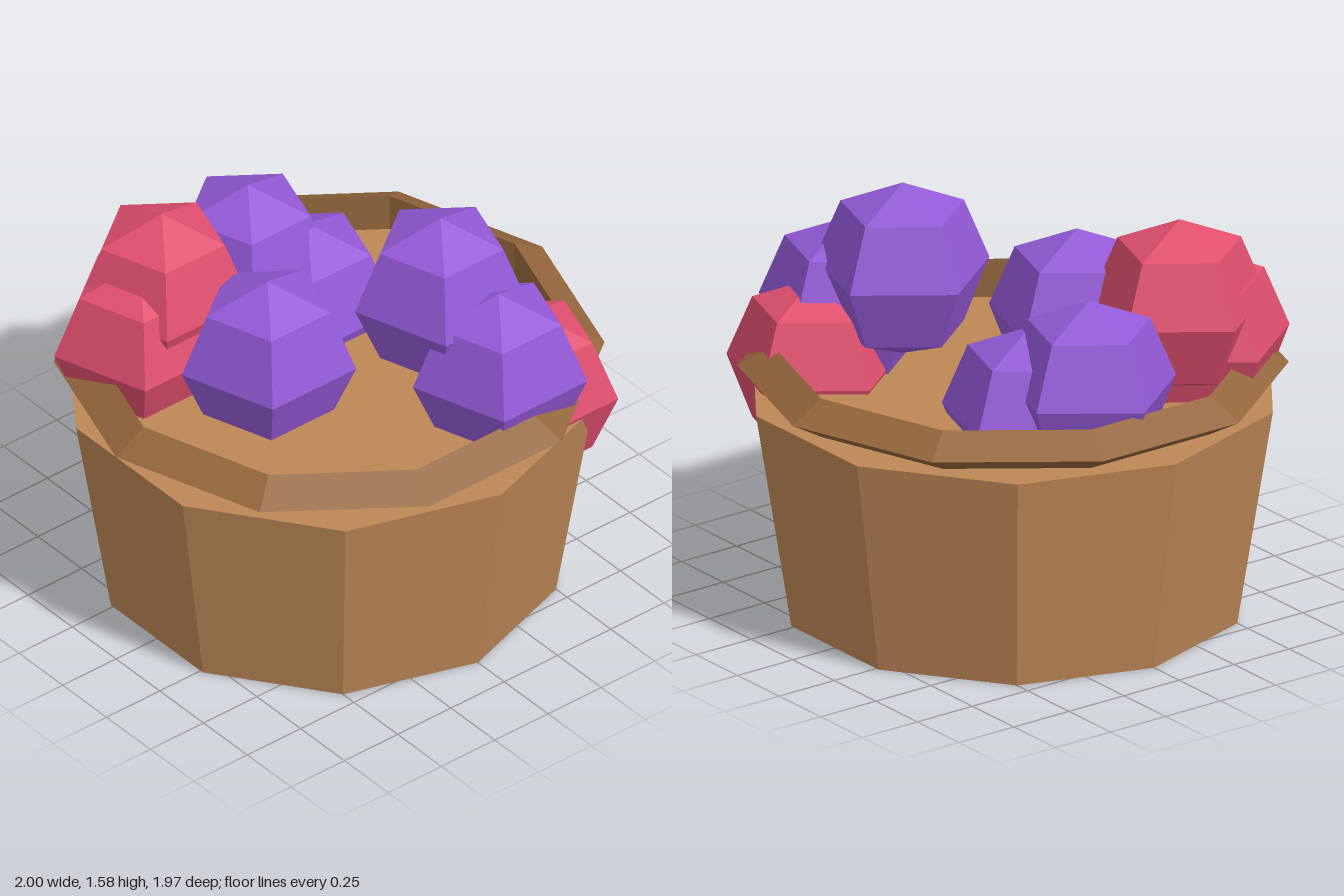
import * as THREE from 'three';

export function createModel() {
  const group = new THREE.Group();
  const material = (name, color) => {
    const m = new THREE.MeshStandardMaterial({ color, flatShading: true });
    m.name = name;
    return m;
  };
  const wood = material('wood', 0xbd8755);
  const darkWood = material('dark wood', 0x94663c);
  const purple = material('purple', 0x9359d6);
  const red = material('red', 0xe04f6e);

  const add = (name, geometry, mat, x, y, z) => {
    const mesh = new THREE.Mesh(geometry, mat);
    mesh.name = name;
    mesh.position.set(x, y, z);
    group.add(mesh);
  };

  // Ten-sided tub, closed at the top to hold the berries
  add('tub', new THREE.CylinderGeometry(0.985, 0.85, 0.84, 10), wood, 0, 0.42, 0);

  // Rim with a triangular section, its corners offset from the tub's
  const rim = new THREE.TorusGeometry(0.9134, 0.0866, 3, 10).rotateX(Math.PI / 2);
  add('rim', rim, darkWood, 0, 0.915, 0);

  // Five-sided berries, each with one corner to the back
  const berry = new THREE.SphereGeometry(0.333, 5, 4).rotateY(-Math.PI / 2);
  const purpleSpots = [
    [0.05, 1.01, -0.525],
    [0.18, 0.88, -0.34],
    [-0.29, 1.04, 0],
    [0.26, 1.25, 0.32],
    [0.31, 1.04, 0.59],
  ];
  const redSpots = [
    [-0.44, 1.175, -0.42],
    [-0.56, 1.02, -0.4],
    [0.485, 0.855, 0.553],
  ];
  for (const p of purpleSpots) add('purpleBerry', berry, purple, ...p);
  for (const p of redSpots) add('redBerry', berry, red, ...p);

  return group;
}
